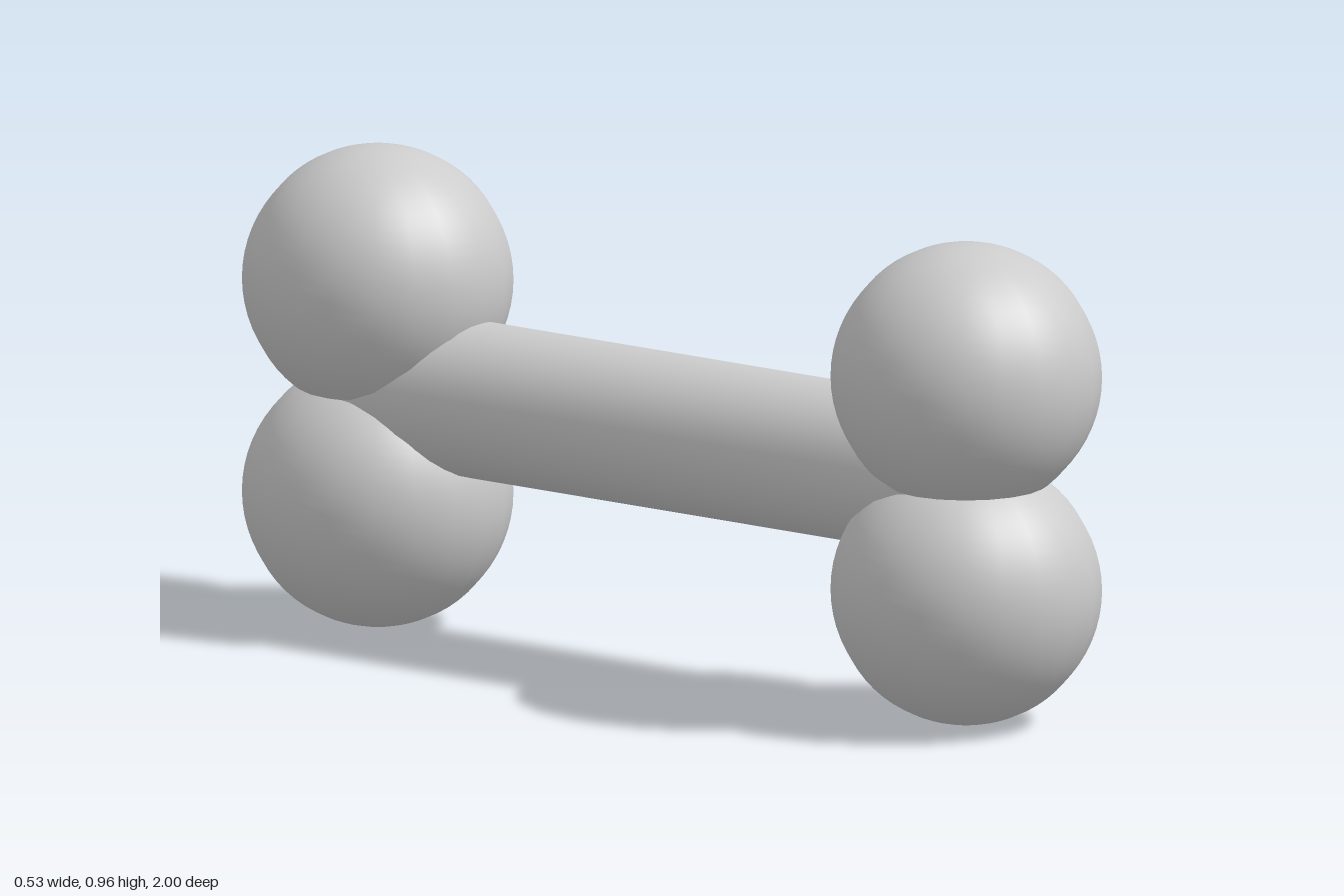
import * as THREE from 'three';

export function createModel() {
  const model = new THREE.Group();
  const material = new THREE.MeshStandardMaterial({ color: 0xcccccc });
  const add = (geometry, name, y, z) => {
    const mesh = new THREE.Mesh(geometry, material);
    mesh.name = name;
    mesh.position.set(0, y, z);
    model.add(mesh);
    return mesh;
  };

  // Shaft running front to back, its ends buried in the knobs
  add(new THREE.CylinderGeometry(0.155, 0.155, 1.42, 32), 'shaft', 0.487, 0).rotation.x = Math.PI / 2;

  // A stacked pair of round knobs at each end
  const knob = new THREE.SphereGeometry(0.267, 20, 32);
  for (const [end, z] of [['front', 0.733], ['back', -0.733]]) {
    add(knob, end + 'LowerKnob', 0.269, z);
    add(knob, end + 'UpperKnob', 0.697, z);
  }
  return model;
}
